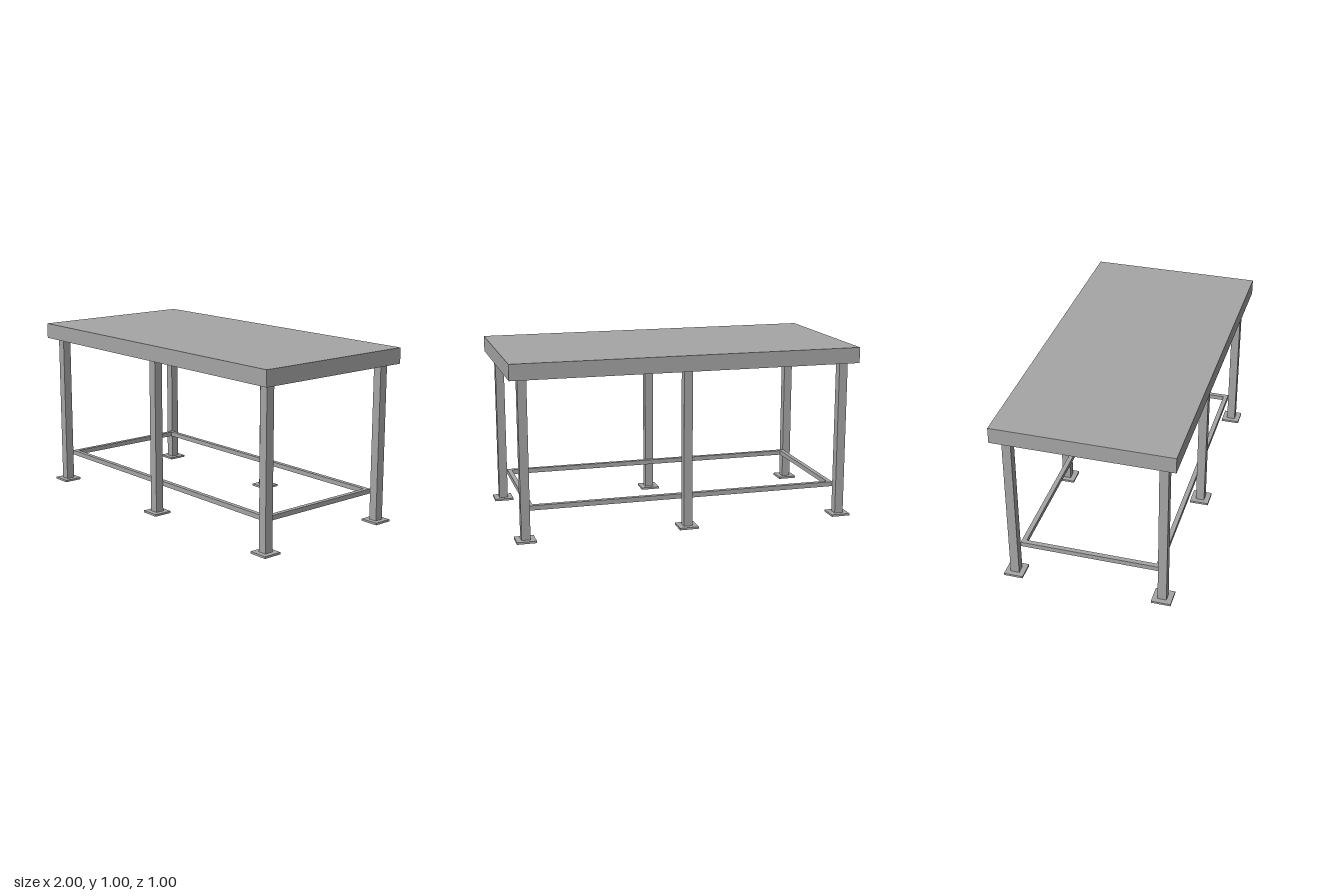
import * as THREE from 'three';

export function createModel() {
  const model = new THREE.Group();
  model.name = 'workTable';
  const steel = new THREE.MeshStandardMaterial({ color: 0xa6a6a6 });
  steel.name = 'grey steel';

  // box given by its size, centre and underside height
  function box(name, w, h, d, x, y, z) {
    const mesh = new THREE.Mesh(new THREE.BoxGeometry(w, h, d), steel);
    mesh.name = name;
    mesh.position.set(x, y + h / 2, z);
    model.add(mesh);
  }

  // table top with a rim hanging below its edge
  box('topPanel', 2, 0.04, 1, 0, 0.96, 0);
  const rect = (shape, x, y) => {
    shape.moveTo(-x, -y).lineTo(x, -y).lineTo(x, y).lineTo(-x, y).closePath();
    return shape;
  };
  const rimShape = rect(new THREE.Shape(), 1, 0.5);
  rimShape.holes.push(rect(new THREE.Path(), 0.95, 0.45));
  const rimGeometry = new THREE.ExtrudeGeometry(rimShape, { depth: 0.05, bevelEnabled: false });
  rimGeometry.rotateX(-Math.PI / 2);
  const rim = new THREE.Mesh(rimGeometry, steel);
  rim.name = 'topRim';
  rim.position.y = 0.91;
  model.add(rim);

  // six legs on square foot plates
  for (const z of [-0.425, 0.425]) {
    for (const x of [-0.925, 0, 0.925]) {
      box('leg', 0.05, 0.898, 0.05, x, 0.012, z);
      box('footPlate', 0.11, 0.012, 0.11, x, 0, z);
    }
  }

  // low rails running along the inner faces of the legs
  const t = 0.027;
  for (const s of [-1, 1]) {
    box('longRail', 1.8, t, t, 0, 0.163, s * (0.4 - t / 2));
    box('sideRail', t, t, 0.8 - 2 * t, s * (0.9 - t / 2), 0.163, 0);
  }
  return model;
}
